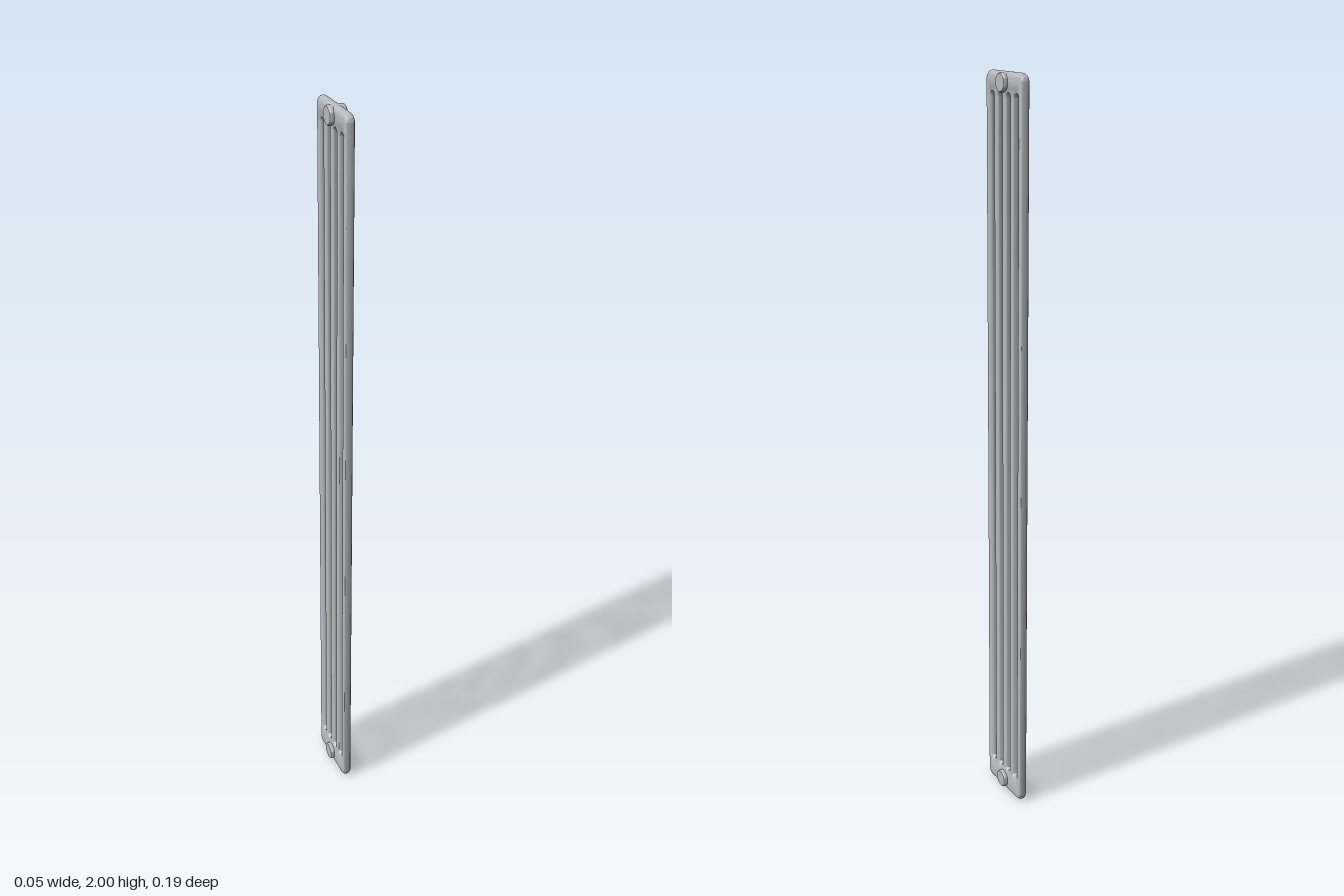
import * as THREE from 'three';
import { toCreasedNormals } from 'three/addons/utils/BufferGeometryUtils.js';

const R = 0.0125;        // tube radius
const PITCH = 0.041;     // distance between neighbouring tubes
const TUBES = 5;

// Rounded rectangle traced on a Shape or Path
function roundedRect(path, cx, y0, y1, halfWidth, r) {
  const a = cx - halfWidth + r, b = cx + halfWidth - r;
  const lo = y0 + r, hi = y1 - r, q = Math.PI / 2;
  path.moveTo(a, y0);
  path.absarc(b, lo, r, -q, 0);
  path.absarc(b, hi, r, 0, q);
  path.absarc(a, hi, r, q, 2 * q);
  path.absarc(a, lo, r, 2 * q, 3 * q);
  return path;
}

// Tubes and both headers: a thin slotted core, swollen to round by the bevel
function bodyGeometry() {
  const half = PITCH * (TUBES - 1) / 2;
  const shape = roundedRect(new THREE.Shape(), 0, R, 2 - R, half, 0.01);
  for (let i = 0; i < TUBES - 1; i++) {
    const cx = -half + PITCH * (i + 0.5);
    shape.holes.push(roundedRect(new THREE.Path(), cx, 0.066 - R, 1.947 + R, 0.02, 0.0199));
  }
  const geometry = new THREE.ExtrudeGeometry(shape, {
    depth: 0.0004, bevelThickness: R, bevelSize: R, bevelSegments: 6, curveSegments: 8,
  });
  geometry.translate(0, 0, -0.0002);
  geometry.rotateY(-Math.PI / 2);
  return toCreasedNormals(geometry, 0.8);
}

// Round connection boss running through a header along x
function hubGeometry() {
  const profile = [
    [0, -0.0228], [0.0215, -0.0228], [0.0235, -0.021], [0.024, -0.018],
    [0.024, 0.018], [0.0235, 0.021], [0.0215, 0.0228], [0, 0.0228],
  ].map(([x, y]) => new THREE.Vector2(x, y));
  const geometry = new THREE.LatheGeometry(profile, 32);
  geometry.rotateZ(Math.PI / 2);
  return toCreasedNormals(geometry, 0.7);
}

export function createModel() {
  const model = new THREE.Group();
  model.name = 'radiatorSection';
  const enamel = new THREE.MeshStandardMaterial({ color: 0xb8babd });
  enamel.name = 'grey enamel';

  const body = new THREE.Mesh(bodyGeometry(), enamel);
  body.name = 'tubesAndHeaders';
  model.add(body);

  const hub = hubGeometry();
  for (const [name, y] of [['lowerHub', 0.031], ['upperHub', 1.974]]) {
    const mesh = new THREE.Mesh(hub, enamel);
    mesh.name = name;
    mesh.position.y = y;
    model.add(mesh);
  }
  return model;
}
